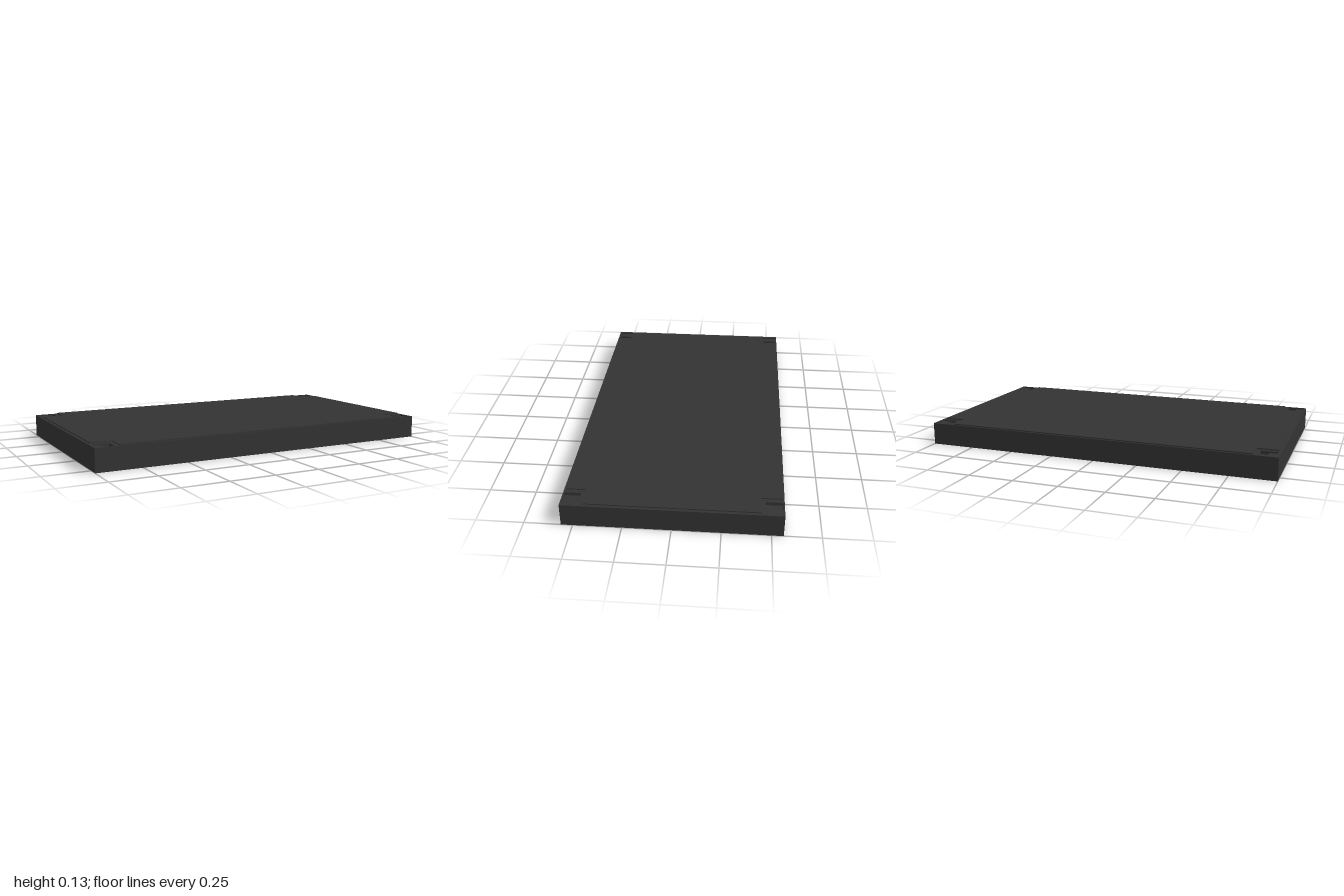
import * as THREE from 'three';

const W = 1, D = 0.56;            // half width and half depth of the shell
const RIM_Y = 0.124, TOP_Y = 0.13; // rim ledge and raised panel heights

const material = new THREE.MeshStandardMaterial({
  color: 0x333333, flatShading: true, side: THREE.DoubleSide,
});

// Counter-clockwise rectangle in (x, -z)
const rect = (x0, x1, y0, y1) => [[x0, y0], [x1, y0], [x1, y1], [x0, y1]];
const vectors = (pts) => pts.map(([x, y]) => new THREE.Vector2(x, y));

// Horizontal sheet at a height, with optional holes
function sheet(name, outline, y, holes = []) {
  const shape = new THREE.Shape(vectors(outline));
  holes.forEach((h) => shape.holes.push(new THREE.Path(vectors(h))));
  const geometry = new THREE.ShapeGeometry(shape).rotateX(-Math.PI / 2).translate(0, y, 0);
  const mesh = new THREE.Mesh(geometry, material);
  mesh.name = name;
  return mesh;
}

// Upright wall following a closed outline between two heights
function wall(name, outline, y0, y1) {
  const pos = [];
  outline.forEach(([ax, ay], i) => {
    const [bx, by] = outline[(i + 1) % outline.length];
    const a = [ax, y0, -ay], b = [bx, y0, -by], c = [bx, y1, -by], d = [ax, y1, -ay];
    pos.push(...a, ...b, ...c, ...a, ...c, ...d);
  });
  const geometry = new THREE.BufferGeometry();
  geometry.setAttribute('position', new THREE.Float32BufferAttribute(pos, 3));
  geometry.computeVertexNormals();
  const mesh = new THREE.Mesh(geometry, material);
  mesh.name = name;
  return mesh;
}

export function createModel() {
  const group = new THREE.Group();
  group.name = 'shallowCover';

  // Panel outline: a rectangle with a notch at each corner
  const px = 0.985, pz = 0.55, nx = 0.87, nz = 0.445;
  const panel = [
    [-nx, -pz], [nx, -pz], [nx, -nz], [px, -nz], [px, nz], [nx, nz],
    [nx, pz], [-nx, pz], [-nx, nz], [-px, nz], [-px, -nz], [-nx, -nz],
  ];

  // Sunken corner pockets, each with a deep inner and a shallow outer half
  const x0 = 0.895, xm = 0.94, x1 = 0.985, z0 = 0.467, z1 = 0.552;
  const deep = 0.106, shallow = 0.116;
  const pockets = [];
  for (const sx of [-1, 1]) {
    for (const sz of [-1, 1]) {
      const corner = (a, b) => rect(
        Math.min(sx * a, sx * b), Math.max(sx * a, sx * b),
        Math.min(sz * z0, sz * z1), Math.max(sz * z0, sz * z1));
      const pocket = new THREE.Group();
      pocket.name = 'cornerPocket';
      pocket.add(
        wall('pocketInnerWall', corner(x0, xm), deep, shallow),
        wall('pocketWall', corner(x0, x1), shallow, RIM_Y),
        sheet('pocketDeepFloor', corner(x0, xm), deep),
        sheet('pocketShallowFloor', corner(xm, x1), shallow));
      group.add(pocket);
      pockets.push(corner(x0, x1));
    }
  }

  // Open-bottomed shell, ledge around the top, and the raised panel
  const outer = rect(-W, W, -D, D);
  group.add(
    wall('sideWalls', outer, 0, RIM_Y),
    sheet('rimLedge', outer, RIM_Y, [panel, ...pockets]),
    wall('panelEdge', panel, RIM_Y, TOP_Y),
    sheet('topPanel', panel, TOP_Y));
  return group;
}
